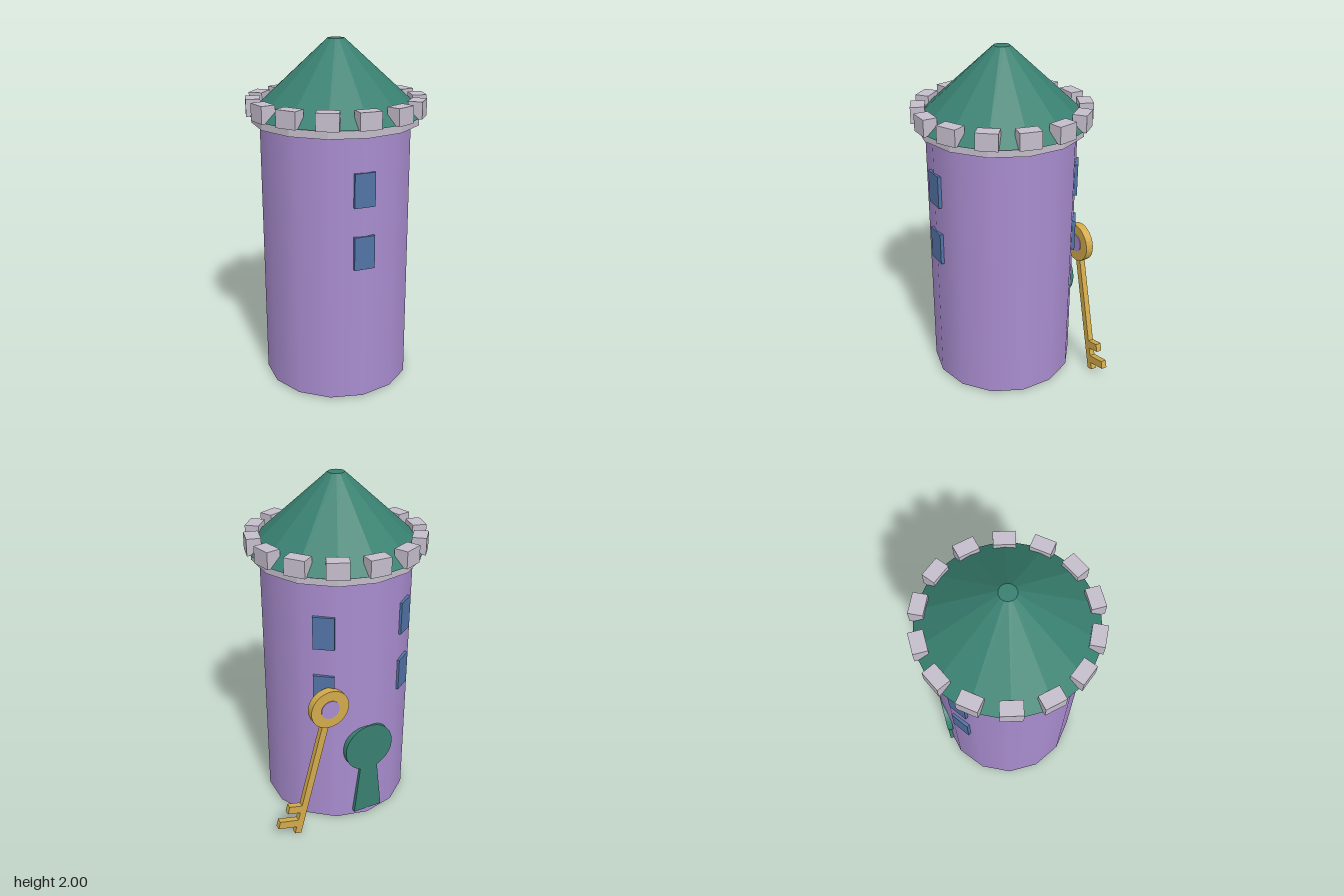
import * as THREE from 'three';

const SIDES = 14;
const AXIS_X = -0.035;

function material(name, color, flatShading = false) {
  const m = new THREE.MeshStandardMaterial({ color, flatShading });
  m.name = name;
  return m;
}

export function createModel() {
  const purple = material('purple wall', 0xa88cce);
  const green = material('green roof', 0x388070, true);
  const stone = material('pale stone', 0xc4bdcb, true);
  const blue = material('blue window', 0x5274a6);
  const gold = material('gold key', 0xd2aa4b);

  const model = new THREE.Group();
  model.name = 'tower';

  function add(parent, name, geometry, mat, x = 0, y = 0, z = 0) {
    const mesh = new THREE.Mesh(geometry, mat);
    mesh.name = name;
    mesh.position.set(x, y, z);
    parent.add(mesh);
    return mesh;
  }
  // Prism standing between two heights on the tower axis
  function drum(name, rTop, rBottom, y0, y1, mat) {
    add(body, name, new THREE.CylinderGeometry(rTop, rBottom, y1 - y0, SIDES), mat, 0, (y0 + y1) / 2, 0);
  }
  // Box facing outward at an angle measured from the front
  function around(name, w, h, d, mat, angle, radius, y) {
    const mesh = add(body, name, new THREE.BoxGeometry(w, h, d), mat,
      Math.sin(angle) * radius, y, Math.cos(angle) * radius);
    mesh.rotation.y = angle;
  }

  const body = new THREE.Group();
  body.name = 'towerBody';
  body.position.x = AXIS_X;
  model.add(body);

  // Wall, ledge and roof
  drum('wall', 0.429, 0.429, 0.01, 1.56, purple);
  drum('ledge', 0.474, 0.474, 1.545, 1.592, stone);
  drum('roof', 0.047, 0.497, 1.592, 2, green);

  // Battlement blocks
  for (let i = 0; i < SIDES; i++) {
    around('battlement', 0.12, 0.095, 0.08, stone, (i / SIDES) * Math.PI * 2, 0.463, 1.638);
  }

  // Three columns of two windows
  for (const degrees of [0, 144.5, 215.5]) {
    for (const y of [0.9, 1.255]) {
      around('window', 0.118, 0.19, 0.03, blue, THREE.MathUtils.degToRad(degrees), 0.42, y);
    }
  }

  // Keyhole-shaped door on the back
  const r = 0.15, neck = 0.055, foot = 0.09, cy = 0.495;
  const a = Math.asin(neck / r);
  const door = new THREE.Shape();
  door.moveTo(-foot, 0.045);
  door.lineTo(foot, 0.045);
  door.lineTo(neck, cy - r * Math.cos(a));
  door.absarc(0, cy, r, -Math.PI / 2 + a, Math.PI * 1.5 - a, false);
  door.closePath();
  add(body, 'keyholeDoor',
    new THREE.ExtrudeGeometry(door, { depth: 0.035, bevelEnabled: false, curveSegments: 24 }),
    green, 0, 0, -0.434);

  // Key leaning beside the tower, built upright and then tilted
  const key = new THREE.Group();
  key.name = 'key';
  key.position.set(0.415, 0.006, -0.392);
  key.rotation.z = THREE.MathUtils.degToRad(14.5);
  model.add(key);

  add(key, 'keyShaft', new THREE.BoxGeometry(0.04, 0.74, 0.034), gold, 0, 0.37, 0);
  add(key, 'keyBit', new THREE.BoxGeometry(0.137, 0.048, 0.034), gold, 0.0685, 0.07, 0);
  add(key, 'keyBit', new THREE.BoxGeometry(0.1, 0.048, 0.034), gold, 0.05, 0.17, 0);

  const ring = new THREE.Shape();
  ring.absarc(0, 0, 0.115, 0, Math.PI * 2, false);
  const hole = new THREE.Path();
  hole.absarc(0, 0, 0.054, 0, Math.PI * 2, true);
  ring.holes.push(hole);
  add(key, 'keyRing',
    new THREE.ExtrudeGeometry(ring, { depth: 0.046, bevelEnabled: false, curveSegments: 16 }),
    gold, 0, 0.834, -0.023);

  // Disc filling the ring
  const disc = add(key, 'keyRingDisc', new THREE.CylinderGeometry(0.055, 0.055, 0.054, 32), purple, 0, 0.834, 0);
  disc.rotation.x = Math.PI / 2;

  return model;
}
